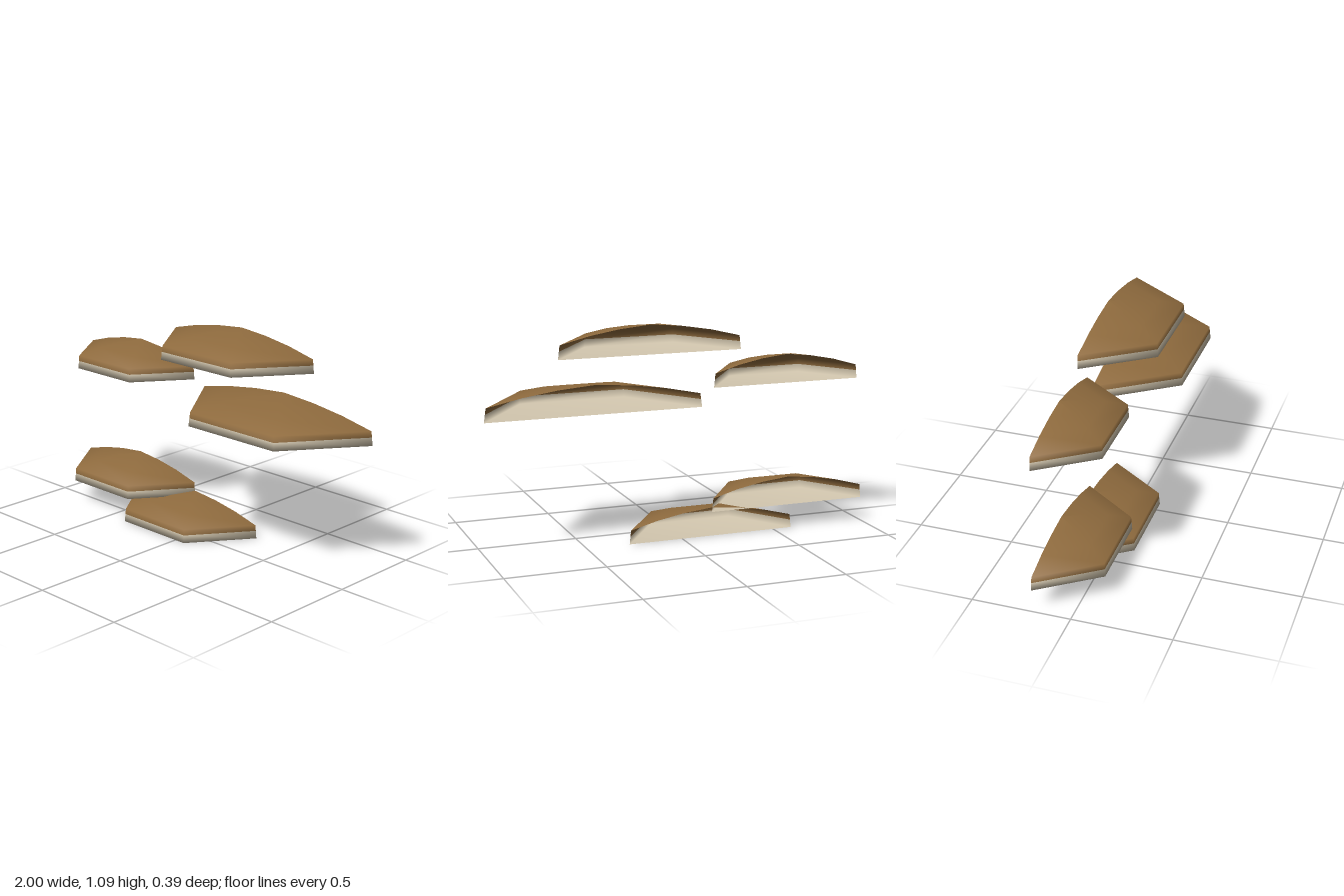
import * as THREE from 'three';

const brown = new THREE.MeshStandardMaterial({ color: 0x8f6b3e, side: THREE.DoubleSide });
brown.name = 'capBrown';
const cream = new THREE.MeshStandardMaterial({ color: 0xd4c8b0, side: THREE.DoubleSide });
cream.name = 'undersideCream';

const BACK = -0.193;   // the open back plane shared by every shelf
const DEPTH = 0.81;    // flattening of the half hexagon in z

// Half of a six-sided lathe; the profile gives radius fractions and heights.
function halfLathe(name, profile, radius, material) {
  const points = profile.map(([r, y]) => new THREE.Vector2(r * radius, y));
  const mesh = new THREE.Mesh(new THREE.LatheGeometry(points, 3, -Math.PI / 2, Math.PI), material);
  mesh.name = name;
  return mesh;
}

// Flat underside with a low rim
const undersideProfile = [[0, 0], [1, 0], [0.99, 0.04]];
// Steep edge, then a gently domed cap
const capProfile = [[0.99, 0.04], [0.982, 0.07], [0.66, 0.107], [0.34, 0.132], [0, 0.147]];

function shelf(name, x, y, radius) {
  const group = new THREE.Group();
  group.name = name;
  group.add(
    halfLathe('underside', undersideProfile, radius, cream),
    halfLathe('cap', capProfile, radius, brown)
  );
  group.position.set(x, y, BACK);
  group.scale.z = DEPTH;
  return group;
}

export function createModel() {
  const model = new THREE.Group();
  model.name = 'shelfFungus';
  // centre x, base height, radius
  const shelves = [
    [-0.16, 0, 0.44],
    [-0.58, 0.123, 0.42],
    [0.448, 0.668, 0.552],
    [-0.563, 0.76, 0.396],
    [0.162, 0.946, 0.472],
  ];
  shelves.forEach(([x, y, r], i) => model.add(shelf(`shelf${i + 1}`, x, y, r)));
  return model;
}
